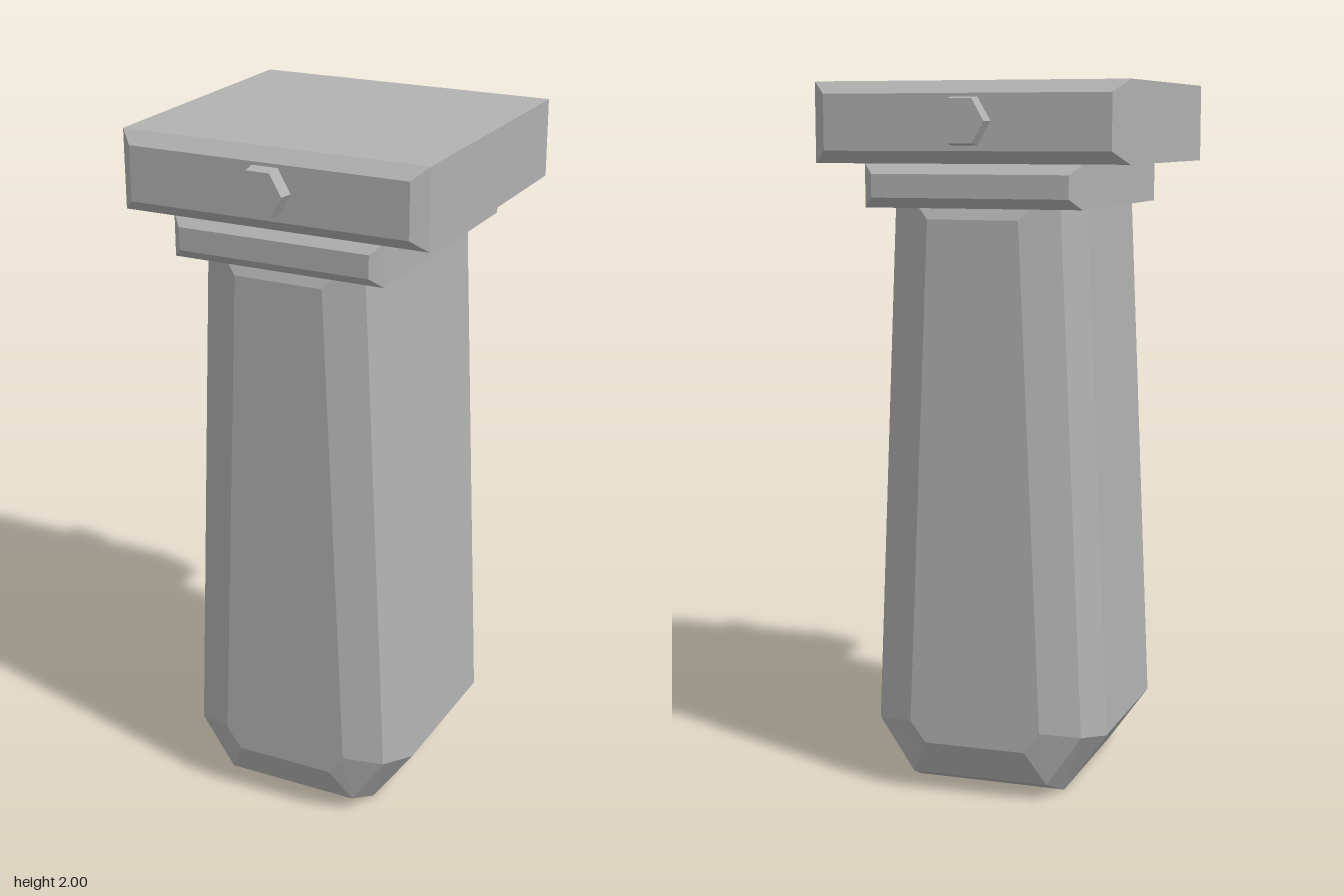
import * as THREE from 'three';

// Faceted solid through outlines stacked along z; outlines run anticlockwise seen from +z
function loft(layers) {
  const n = layers[0].outline.length;
  const positions = layers.flatMap(({ z, outline }) => outline.flatMap(([x, y]) => [x, y, z]));
  const index = [];
  for (let l = 0; l < layers.length - 1; l++) {
    for (let i = 0; i < n; i++) {
      const a = l * n + i, b = l * n + (i + 1) % n;
      index.push(a, b, b + n, a, b + n, a + n);
    }
  }
  const last = (layers.length - 1) * n;
  for (let i = 1; i < n - 1; i++) {
    index.push(0, i + 1, i);
    index.push(last, last + i, last + i + 1);
  }
  const indexed = new THREE.BufferGeometry();
  indexed.setAttribute('position', new THREE.Float32BufferAttribute(positions, 3));
  indexed.setIndex(index);
  const geometry = indexed.toNonIndexed();
  geometry.computeVertexNormals();
  return geometry;
}

// Repeats the front layers (outermost last) on the back
const mirrored = (front) => [...front].reverse().map(({ z, outline }) => ({ z: -z, outline })).concat(front);

// Symmetric outline from its right-hand points, bottom to top
const symmetric = (right) => [...right, ...[...right].reverse().map(([x, y]) => [-x, y])];

// Block whose front and back edges are chamfered
function chamferedBlock(halfX, y0, y1, z, zOuter, insetX, insetY) {
  return loft(mirrored([
    { z, outline: symmetric([[halfX, y0], [halfX, y1]]) },
    { z: zOuter, outline: symmetric([[halfX - insetX, y0 + insetY], [halfX - insetX, y1 - insetY]]) },
  ]));
}

export function createModel() {
  const group = new THREE.Group();
  const grey = new THREE.MeshStandardMaterial({ color: 0xb2b2b2 });
  grey.name = 'grey';

  const add = (name, geometry) => {
    const mesh = new THREE.Mesh(geometry, grey);
    mesh.name = name;
    group.add(mesh);
    return mesh;
  };

  // Tapered handle, its front and back rounded off in two bevel steps
  add('handle', loft(mirrored([
    { z: 0.235, outline: symmetric([[0.22, 0], [0.345, 0.175], [0.276, 1.76]]) },
    { z: 0.34, outline: symmetric([[0.2, 0.047], [0.3, 0.195], [0.232, 1.74]]) },
    { z: 0.385, outline: symmetric([[0.147, 0.15], [0.192, 0.21], [0.13, 1.63]]) },
  ])));

  // Collar and top mounting plate
  add('collar', chamferedBlock(0.31, 1.66, 1.78, 0.385, 0.415, 0.03, 0.028));
  add('mountPlate', chamferedBlock(0.445, 1.78, 2, 0.408, 0.445, 0.04, 0.034));

  // Hexagonal bolt heads, front and back
  for (const side of [1, -1]) {
    const geometry = new THREE.CylinderGeometry(0.068, 0.075, 0.05, 6, 1, false, Math.PI / 2).toNonIndexed();
    geometry.computeVertexNormals();
    const bolt = add(side > 0 ? 'frontBolt' : 'backBolt', geometry);
    bolt.rotation.x = side * Math.PI / 2;
    bolt.position.set(0, 1.893, side * 0.46);
  }

  return group;
}
